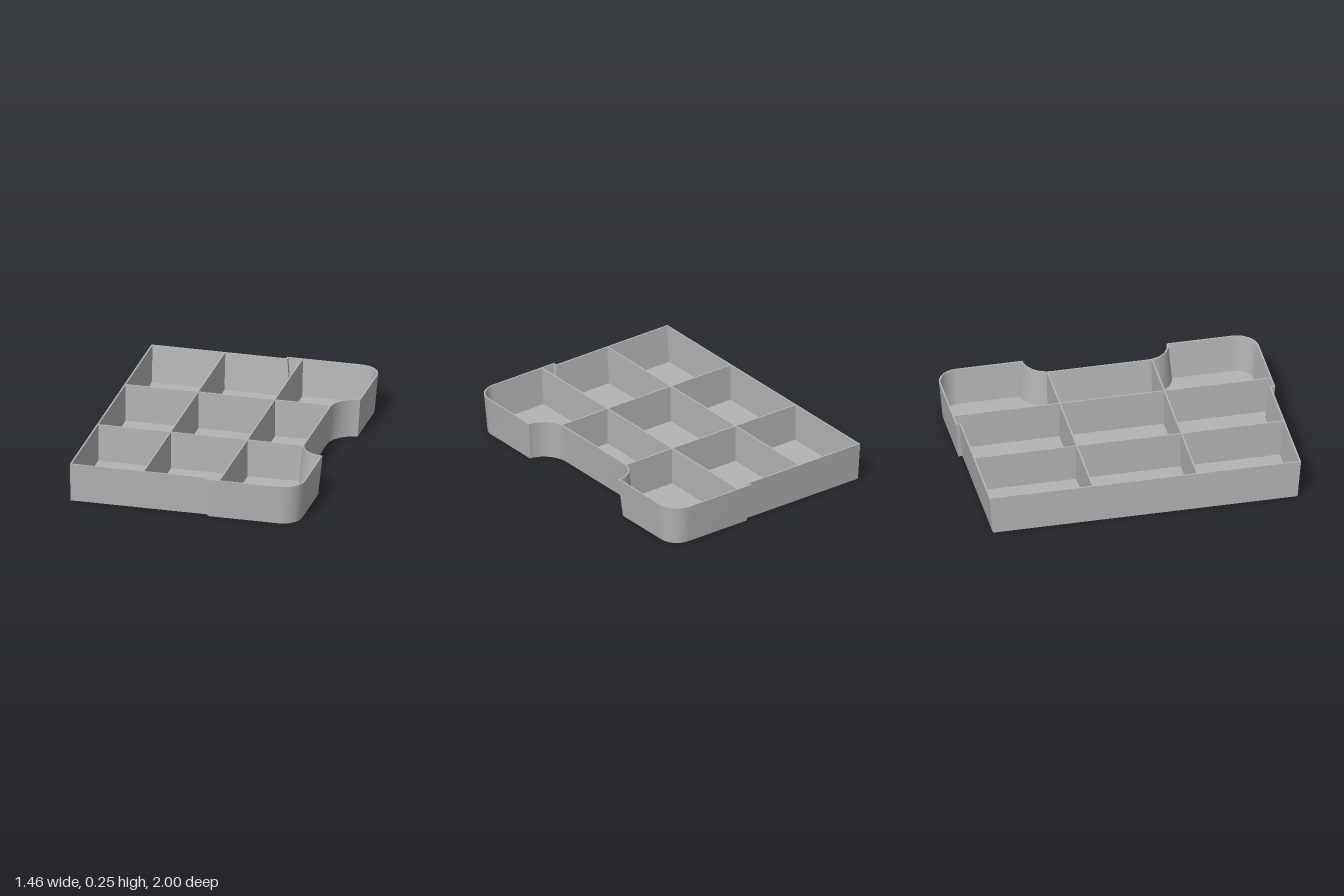
import * as THREE from 'three';
import { toCreasedNormals } from 'three/addons/utils/BufferGeometryUtils.js';

const HEIGHT = 0.25, FLOOR = 0.012, WALL = 0.01, DRAFT = 0.022;

// Tray outline as [x, z] points, anticlockwise from above.
// inset moves every drafted side inward; the left side stays upright and moves by wall only.
function outline(inset, wall) {
  const half = [
    [-0.73 + wall, 0.975 - inset],
    [0.122 + inset, 0.975 - inset],
    [0.122 + inset, 1 - inset],
  ];
  const n = 12;
  // rounded outer corner
  for (let i = 0; i <= n; i++) {
    const a = Math.PI / 2 * (1 - i / n), r = 0.14 - inset;
    half.push([0.59 + r * Math.cos(a), 0.86 + r * Math.sin(a)]);
  }
  // scooped notch corner
  const r = 0.15 + inset, start = Math.PI / 2 + Math.asin(inset / r);
  for (let i = 0; i <= n; i++) {
    const a = start + (Math.PI - start) * i / n;
    half.push([0.73 + r * Math.cos(a), 0.3 + r * Math.sin(a)]);
  }
  return half.concat(half.map(([x, z]) => [x, -z]).reverse());
}

// Outer skin, rim and inner skin as strips between matching rings
function wallGeometry() {
  const rings = [
    [outline(DRAFT, 0), 0],
    [outline(0, 0), HEIGHT],
    [outline(WALL, WALL), HEIGHT],
    [outline(DRAFT + WALL, WALL), FLOOR],
  ];
  const pos = [];
  for (let k = 0; k < rings.length - 1; k++) {
    const [a, ya] = rings[k], [b, yb] = rings[k + 1];
    for (let i = 0; i < a.length; i++) {
      const j = (i + 1) % a.length;
      const A = [a[i][0], ya, a[i][1]], B = [a[j][0], ya, a[j][1]];
      const C = [b[j][0], yb, b[j][1]], D = [b[i][0], yb, b[i][1]];
      pos.push(...A, ...B, ...C, ...A, ...C, ...D);
    }
  }
  const g = new THREE.BufferGeometry();
  g.setAttribute('position', new THREE.Float32BufferAttribute(pos, 3));
  return toCreasedNormals(g, 0.5);
}

// Flat sheet filling an outline, facing up or down
function sheet(points, up) {
  const s = up ? -1 : 1;
  const shape = new THREE.Shape(points.map(([x, z]) => new THREE.Vector2(x, s * z)));
  return new THREE.ShapeGeometry(shape).rotateX(s * Math.PI / 2);
}

// Thin upright plate whose ends follow the sloping walls, lying along x
function divider(bottomStart, bottomEnd, topStart, topEnd) {
  const t = 0.01, y0 = FLOOR / 2;
  const shape = new THREE.Shape([
    new THREE.Vector2(bottomStart, y0), new THREE.Vector2(bottomEnd, y0),
    new THREE.Vector2(topEnd, HEIGHT), new THREE.Vector2(topStart, HEIGHT),
  ]);
  return new THREE.ExtrudeGeometry(shape, { depth: t, bevelEnabled: false }).translate(0, 0, -t / 2);
}

export function createModel() {
  const tray = new THREE.Group();
  tray.name = 'compartmentTray';
  const grey = new THREE.MeshStandardMaterial({ color: 0xb4b4b4 });
  grey.name = 'grey plastic';
  const add = (name, geometry) => {
    const mesh = new THREE.Mesh(geometry, grey);
    mesh.name = name;
    tray.add(mesh);
    return mesh;
  };

  add('walls', wallGeometry());
  add('underside', sheet(outline(DRAFT, 0), false));
  add('floor', sheet(outline(DRAFT + WALL, WALL), true)).position.y = FLOOR;

  // dividers running front to back
  for (const [x, z] of [[-0.265, 0.97], [0.22, 0.995]]) {
    const d = add('crossDivider', divider(DRAFT - z, z - DRAFT, -z, z).rotateY(Math.PI / 2));
    d.position.x = x;
  }
  // dividers running left to right
  for (const z of [-0.327, 0.327]) {
    add('longDivider', divider(-0.725, 0.555, -0.725, 0.577)).position.z = z;
  }
  return tray;
}
